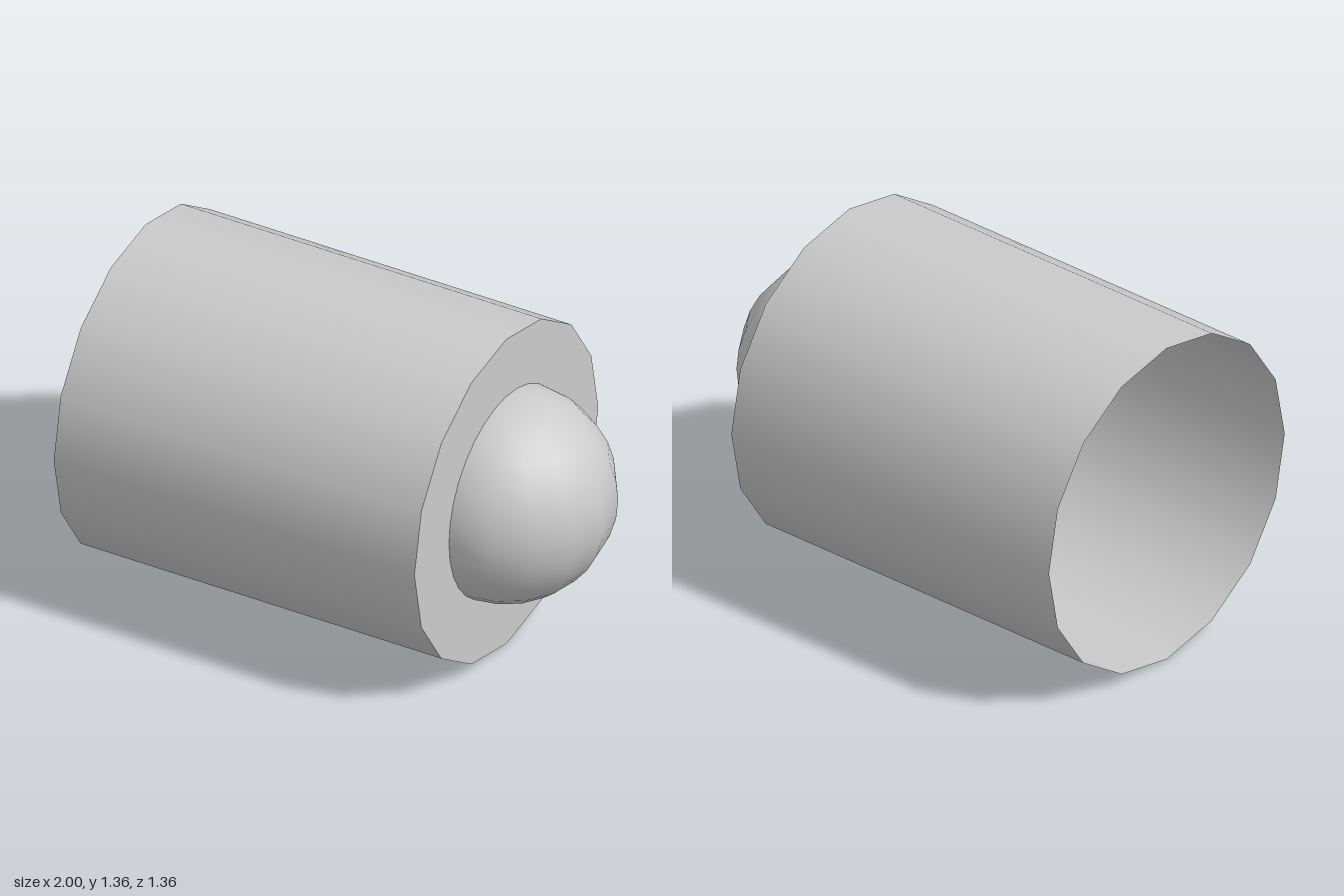
import * as THREE from 'three';

const RADIUS = 0.68;      // tube radius
const BACK = -1;          // open end
const FACE = 0.575;       // closed end
const DOME = 0.425;       // ball radius
const SIDES = 16;

export function createModel() {
  const group = new THREE.Group();
  const material = new THREE.MeshStandardMaterial({ color: 0xcccccc, side: THREE.DoubleSide });

  const add = (name, geometry, x) => {
    const mesh = new THREE.Mesh(geometry, material);
    mesh.name = name;
    mesh.position.set(x, RADIUS, 0);
    group.add(mesh);
  };

  // Thin-walled tube along x, open at one end
  const tube = new THREE.CylinderGeometry(RADIUS, RADIUS, FACE - BACK, SIDES, 1, true);
  add('housing', tube.rotateZ(-Math.PI / 2), (FACE + BACK) / 2);

  // Flat plate closing the other end
  add('endPlate', new THREE.CircleGeometry(RADIUS, SIDES).rotateY(Math.PI / 2), FACE);

  // Ball set halfway into the plate
  add('ball', new THREE.SphereGeometry(DOME, SIDES, SIDES), FACE);

  return group;
}
